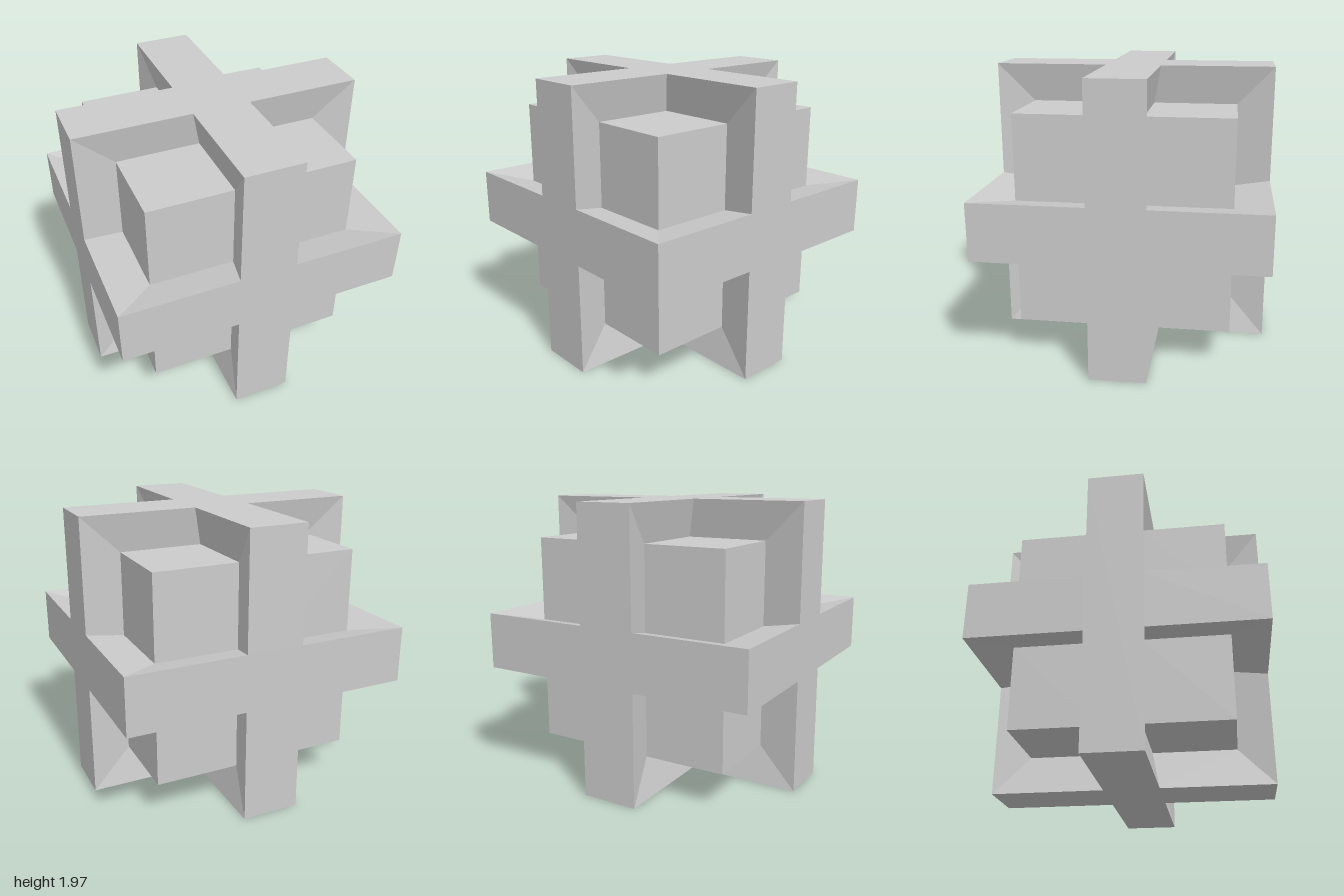
import * as THREE from 'three';

const HALF = [1, 0.985, 0.962];      // half extents of the whole block (x, y, z)
const ARM = [0.2, 0.196, 0.191];     // half thickness of the crossing slabs
const BLOCK = [0.72, 0.72, 0.718];   // outer faces of the corner blocks
const ROOT = [0.14, 0.14, 0.14];     // where the blocks meet the dished slabs

const material = new THREE.MeshStandardMaterial({ color: 0xcccccc, flatShading: true });

// Mesh from a list of four-cornered faces, corners counter-clockwise.
function quadMesh(name, quads) {
  const positions = quads.flatMap(([a, b, c, d]) => [a, b, c, a, c, d].flat());
  const geometry = new THREE.BufferGeometry();
  geometry.setAttribute('position', new THREE.Float32BufferAttribute(positions, 3));
  geometry.computeVertexNormals();
  const mesh = new THREE.Mesh(geometry, material);
  mesh.name = name;
  return mesh;
}

// Six-cornered loop around one octant: 1 picks the far value, 0 the near one.
const LOOP = [[1, 0, 0], [1, 1, 0], [0, 1, 0], [0, 1, 1], [0, 0, 1], [1, 0, 1]];
const loopPoints = (near, far) => LOOP.map((p) => p.map((f, i) => (f ? far[i] : near[i])));

// Plus-shaped end face on one side of one axis.
function crossFace(axis, sign) {
  const u = (axis + 1) % 3, v = (axis + 2) % 3;
  const rect = (u0, u1, v0, v1) => {
    const corners = [[u0, v0], [u1, v0], [u1, v1], [u0, v1]].map(([a, b]) => {
      const p = [0, 0, 0];
      p[axis] = sign * HALF[axis];
      p[u] = a;
      p[v] = b;
      return p;
    });
    return sign > 0 ? corners : corners.reverse();
  };
  return [
    rect(-HALF[u], HALF[u], -ARM[v], ARM[v]),
    rect(-ARM[u], ARM[u], ARM[v], HALF[v]),
    rect(-ARM[u], ARM[u], -HALF[v], -ARM[v]),
  ];
}

export function createModel() {
  const model = new THREE.Group();
  model.name = 'interlockedCube';

  // End faces of the three crossing slabs
  const faces = [];
  for (let axis = 0; axis < 3; axis++) {
    for (const sign of [-1, 1]) faces.push(...crossFace(axis, sign));
  }
  model.add(quadMesh('slabEnds', faces));

  // Sloping slab sides and the block in the positive octant
  const outer = loopPoints(ARM, HALF);
  const inner = loopPoints(ROOT, BLOCK);
  const slopes = outer.map((p, i) => {
    const j = (i + 1) % 6;
    return [p, outer[j], inner[j], inner[i]];
  });
  const block = [0, 2, 4].map((i) => [inner[i], inner[i + 1], BLOCK, inner[(i + 5) % 6]]);

  // Mirror them into all eight octants
  for (const sx of [-1, 1]) for (const sy of [-1, 1]) for (const sz of [-1, 1]) {
    const mirror = (quads) => quads.map((quad) => {
      const q = quad.map(([x, y, z]) => [x * sx, y * sy, z * sz]);
      return sx * sy * sz > 0 ? q : q.reverse();
    });
    const corner = new THREE.Group();
    corner.name = `${sy > 0 ? 'upper' : 'lower'}${sz > 0 ? 'Front' : 'Back'}${sx > 0 ? 'Left' : 'Right'}Corner`;
    corner.add(quadMesh('slabSides', mirror(slopes)), quadMesh('cornerBlock', mirror(block)));
    model.add(corner);
  }

  // Stand the model on the ground
  model.children.forEach((part) => { part.position.y = HALF[1]; });
  return model;
}
